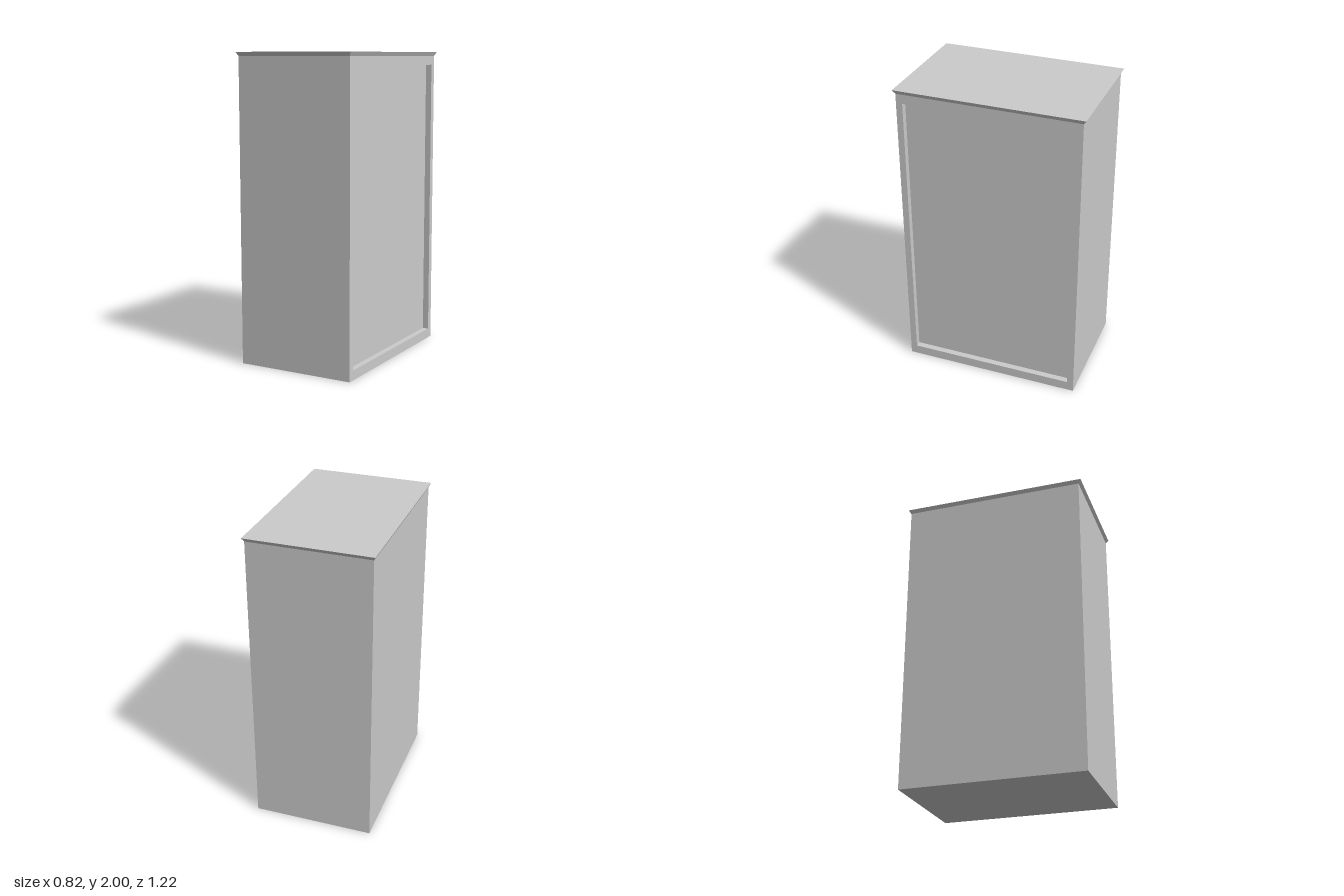
import * as THREE from 'three';

const W = 0.792, D = 1.188, H = 1.975;   // cabinet body
const TOP_W = 0.816, TOP_D = 1.222, TOP_Y = 2; // flared top
const REC = { z: 0.552, y0: 0.063, y1: 1.915, depth: 0.04 };

const material = () => new THREE.MeshStandardMaterial({ color: 0xcccccc, flatShading: true });

function addMesh(group, name, geometry) {
  const mesh = new THREE.Mesh(geometry, material());
  mesh.name = name;
  group.add(mesh);
  return mesh;
}

// Box with its +x face left out; inward turns the walls to face the inside
function openBox(w, h, d, inward = false) {
  const geo = new THREE.BoxGeometry(w, h, d);
  const index = Array.from(geo.index.array).slice(6);
  if (inward) {
    index.reverse();
    geo.attributes.normal.array.forEach((n, i, a) => { a[i] = -n; });
  }
  geo.setIndex(index);
  geo.clearGroups();
  return geo;
}

function rectangle(target, z0, z1, y0, y1) {
  target.moveTo(z0, y0).lineTo(z1, y0).lineTo(z1, y1).lineTo(z0, y1).closePath();
  return target;
}

export function createModel() {
  const model = new THREE.Group();
  model.name = 'cabinet';

  // Outer walls and floor
  addMesh(model, 'body', openBox(W, H, D).translate(0, H / 2, 0));

  // Flat border around the recess on the +x side
  const border = rectangle(new THREE.Shape(), -D / 2, D / 2, 0, H);
  border.holes.push(rectangle(new THREE.Path(), -REC.z, REC.z, REC.y0, REC.y1));
  addMesh(model, 'sideFrame', new THREE.ShapeGeometry(border).rotateY(Math.PI / 2).translate(W / 2, 0, 0));

  // Sunken panel with its four inner edges
  const recess = openBox(REC.depth, REC.y1 - REC.y0, REC.z * 2, true);
  recess.translate(W / 2 - REC.depth / 2, (REC.y0 + REC.y1) / 2, 0);
  addMesh(model, 'recessedPanel', recess);

  // Top slab flaring outward from the body
  const top = new THREE.BoxGeometry(TOP_W, TOP_Y - H, TOP_D);
  const pos = top.attributes.position;
  for (let i = 0; i < pos.count; i++) {
    if (pos.getY(i) < 0) {
      pos.setX(i, Math.sign(pos.getX(i)) * W / 2);
      pos.setZ(i, Math.sign(pos.getZ(i)) * D / 2);
    }
  }
  top.computeVertexNormals();
  addMesh(model, 'flaredTop', top.translate(0, (TOP_Y + H) / 2, 0));

  return model;
}
